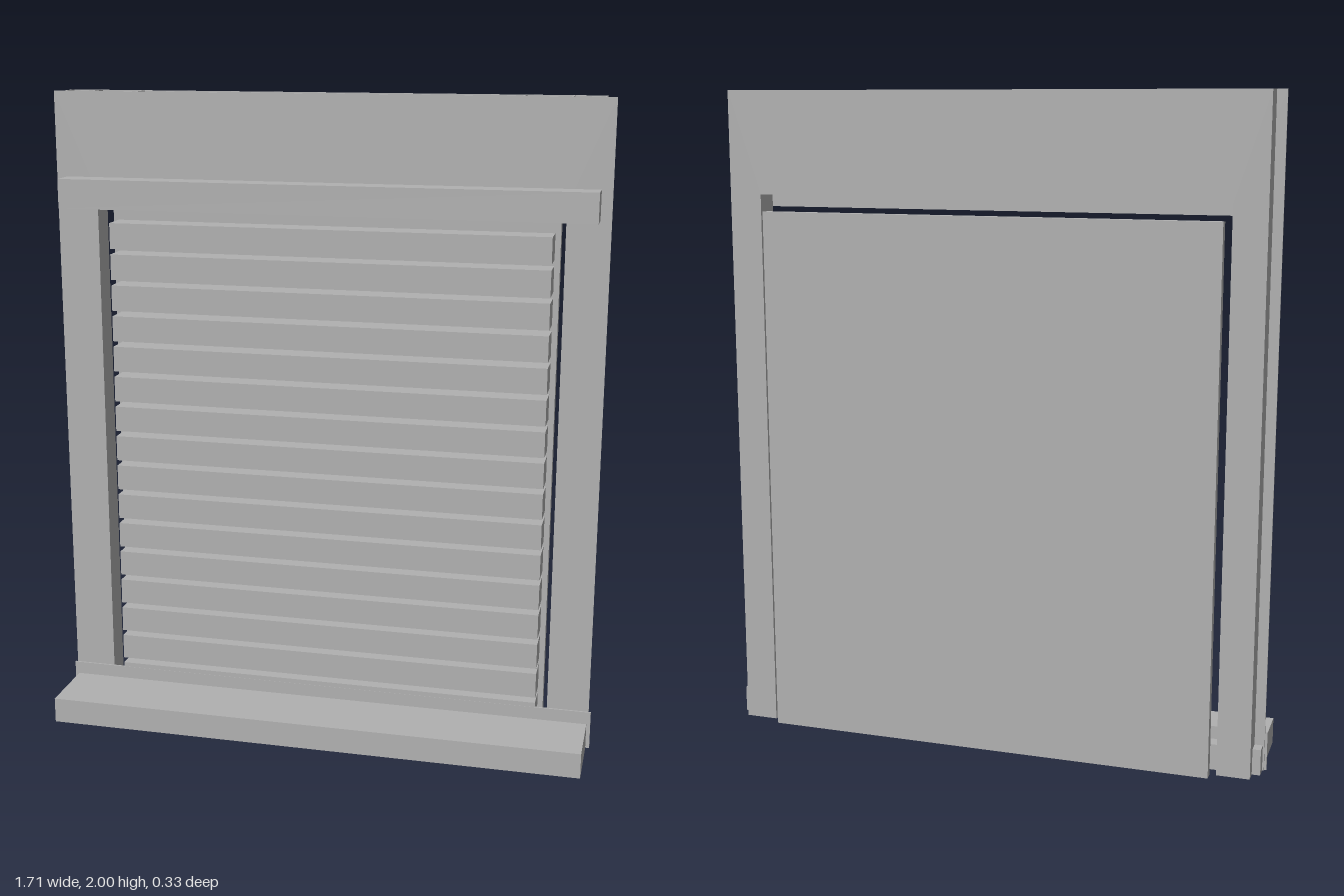
import * as THREE from 'three';

export function createModel() {
  const model = new THREE.Group();
  const grey = new THREE.MeshStandardMaterial({ color: 0xb0b0b0 });
  grey.name = 'plain grey';

  // Box given by its lower and upper limits on each axis
  function box(name, [x0, x1], [y0, y1], [z0, z1]) {
    const mesh = new THREE.Mesh(new THREE.BoxGeometry(x1 - x0, y1 - y0, z1 - z0), grey);
    mesh.position.set((x0 + x1) / 2, (y0 + y1) / 2, (z0 + z1) / 2);
    mesh.name = name;
    model.add(mesh);
  }

  const OPEN_X = 0.72, OPEN_Y = 1.69;   // window opening
  const FRONT = -0.052, BACK = -0.134;  // wall faces
  const T = 0.006;                      // sheet thickness

  // Wall sheet cut around the opening, which is open at the foot
  function sheet(name, half, z) {
    const shape = new THREE.Shape();
    [[-half, 0], [-OPEN_X, 0], [-OPEN_X, OPEN_Y], [OPEN_X, OPEN_Y], [OPEN_X, 0], [half, 0], [half, 2], [-half, 2]]
      .forEach(([x, y], i) => (i ? shape.lineTo(x, y) : shape.moveTo(x, y)));
    const mesh = new THREE.Mesh(new THREE.ExtrudeGeometry(shape, { depth: T, bevelEnabled: false }), grey);
    mesh.position.z = z;
    mesh.name = name;
    model.add(mesh);
  }
  sheet('frontWallSheet', 0.85, FRONT - T);
  sheet('backWallSheet', 0.82, BACK);

  // Upright webs inside the hollow wall, left open at the top
  const inner = [BACK + T, FRONT - T];
  for (const s of [-1, 1]) {
    const web = (name, x, y0) => box(name, [s * x - T / 2, s * x + T / 2], [y0, 2], inner);
    web('outerSideWall', 0.817, 0);
    web('openingReveal', OPEN_X + T / 2, 0);
    web('innerWeb', 0.585, OPEN_Y);
    box('jambFoot', [s * 0.77 - 0.047, s * 0.77 + 0.047], [0, T], inner);
  }
  box('openingSoffit', [-OPEN_X, OPEN_X], [OPEN_Y, OPEN_Y + T], inner);

  // Projecting ledges
  box('lintel', [-0.817, 0.817], [1.65, 1.74], [FRONT, 0.028]);
  box('sill', [-0.845, 0.845], [0, 0.08], [-0.096, 0.165]);
  box('sillUpstand', [-0.857, 0.857], [0, 0.12], [FRONT, FRONT + T]);

  // Shutter: backing panel and a ladder of slats
  box('shutterPanel', [-0.7, 0.7], [0, 1.64], [-0.165, BACK]);
  for (let i = 0; i < 16; i++) {
    const top = 1.6 - i * 0.0977;
    box('shutterSlat', [-0.683, 0.683], [Math.max(top - 0.08, 0.08), top], [BACK, -0.047]);
  }
  return model;
}
